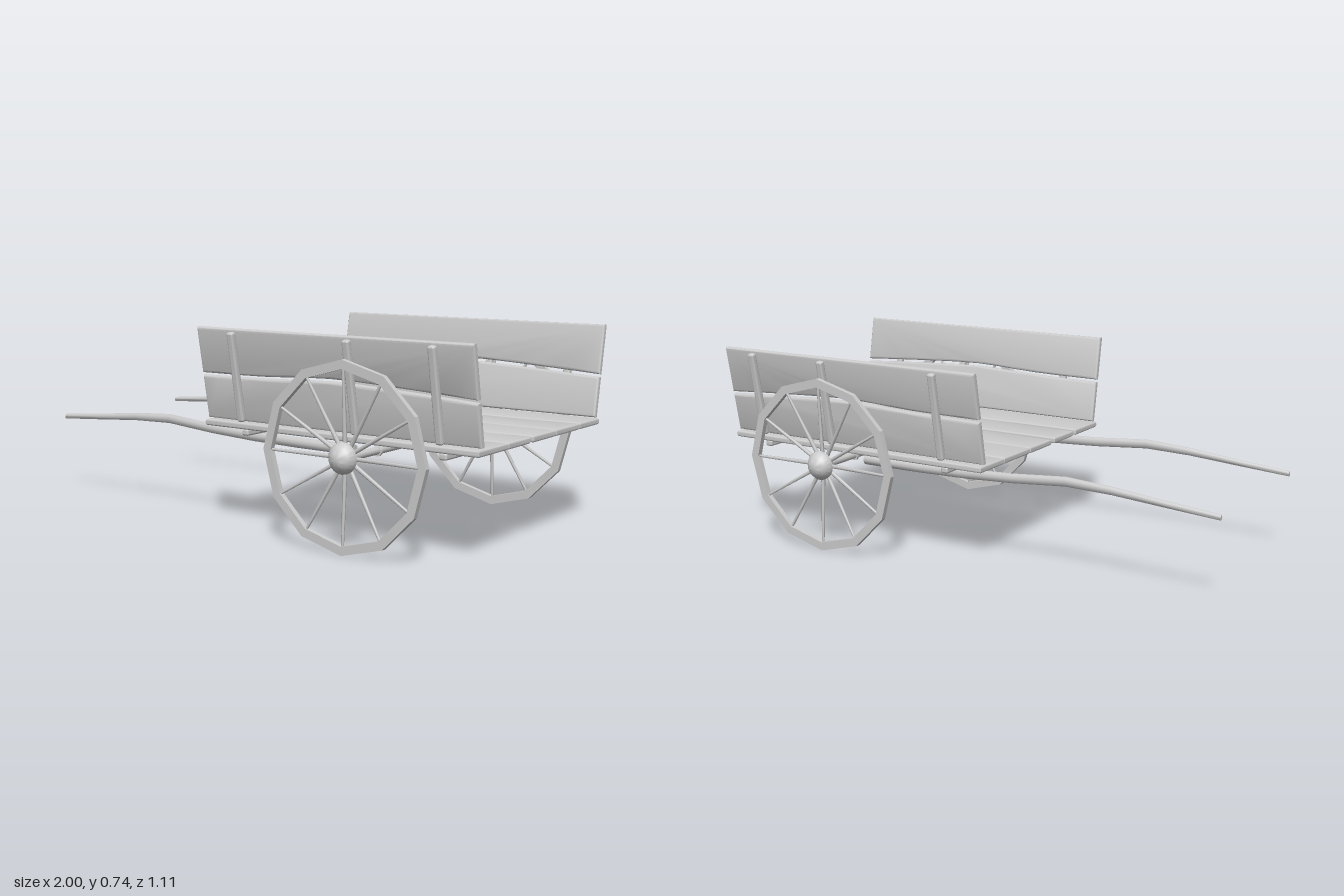
import * as THREE from 'three';
import { toCreasedNormals } from 'three/addons/utils/BufferGeometryUtils.js';
import { RoundedBoxGeometry } from 'three/addons/geometries/RoundedBoxGeometry.js';

const grey = new THREE.MeshStandardMaterial({ color: 0xcccccc });
const X0 = -0.14, X1 = 1.0;
const WHEEL_X = 0.525, WHEEL_Y = 0.335;

function add(parent, name, geometry, x = 0, y = 0, z = 0) {
  const mesh = new THREE.Mesh(geometry, grey);
  mesh.name = name;
  mesh.position.set(x, y, z);
  parent.add(mesh);
  return mesh;
}

// Rounded board along x; both long edges are given as evenly spaced heights
function plankGeometry(low, high) {
  const edge = (values) => values.map((v, i) =>
    new THREE.Vector2(X0 + (X1 - X0) * i / (values.length - 1), v));
  const smooth = (values) => new THREE.SplineCurve(edge(values)).getPoints(values.length > 2 ? 12 : 1);
  const shape = new THREE.Shape([...smooth(low), ...smooth(high).reverse()]);
  const bevel = 0.009, core = 0.006;
  const g = new THREE.ExtrudeGeometry(shape, {
    depth: core, bevelSize: bevel, bevelThickness: bevel, bevelOffset: -bevel, bevelSegments: 3,
  });
  g.translate(0, 0, -core / 2);
  return toCreasedNormals(g, 0.7);
}

// Tapered, bent pole; each station is [x, y, half height, half width]
function shaftGeometry(stations) {
  const n = stations.length - 1;
  const g = new THREE.CylinderGeometry(1, 1, 1, 10, n);
  const p = g.attributes.position;
  for (let i = 0; i < p.count; i++) {
    const [x, y, h, w] = stations[Math.round((0.5 - p.getY(i)) * n)];
    p.setXYZ(i, x, y + p.getX(i) * h, p.getZ(i) * w);
  }
  g.computeVertexNormals();
  return toCreasedNormals(g, 0.8);
}

// Wheel with its axis along z, outer face towards +z
function makeWheel() {
  const wheel = new THREE.Group();
  wheel.name = 'wheel';

  // Twelve-sided rim
  const rim = [[0.298, -0.01], [0.33, -0.01], [0.33, 0.01], [0.298, 0.01], [0.298, -0.01]]
    .map(([r, y]) => new THREE.Vector2(r, y));
  add(wheel, 'rim', toCreasedNormals(new THREE.LatheGeometry(rim, 12).rotateX(Math.PI / 2), 0.3));

  // Spokes running slightly outwards from the hub to the rim corners
  const up = new THREE.Vector3(0, 1, 0);
  for (let i = 0; i < 12; i++) {
    const a = i * Math.PI / 6;
    const start = new THREE.Vector3(Math.cos(a) * 0.03, Math.sin(a) * 0.03, -0.014);
    const end = new THREE.Vector3(Math.cos(a) * 0.308, Math.sin(a) * 0.308, 0);
    const dir = end.clone().sub(start);
    const spoke = add(wheel, 'spoke', new THREE.CylinderGeometry(0.005, 0.008, dir.length(), 6));
    spoke.position.copy(start).add(end).multiplyScalar(0.5);
    spoke.quaternion.setFromUnitVectors(up, dir.normalize());
  }

  // Hub with a tapering outer cap
  const hub = [[0, -0.033], [0.032, -0.033], [0.036, -0.008], [0.054, -0.004], [0.054, 0.008],
    [0.04, 0.026], [0.022, 0.042], [0, 0.044]].map(([r, y]) => new THREE.Vector2(r, y));
  add(wheel, 'hub', toCreasedNormals(new THREE.LatheGeometry(hub, 20).rotateX(Math.PI / 2), 0.7));
  return wheel;
}

export function createModel() {
  const cart = new THREE.Group();
  cart.name = 'handcart';

  // Floor boards, given by their two edges in z
  const floor = new THREE.Group();
  floor.name = 'floor';
  cart.add(floor);
  const boards = [
    [[-0.44, -0.44], [-0.282, -0.284, -0.274, -0.266, -0.284]],
    [[-0.277, -0.278, -0.268, -0.26, -0.278], [-0.099, -0.099]],
    [[-0.09, -0.09], [0.065, 0.072, 0.082, 0.087, 0.07]],
    [[0.095, 0.095], [0.24, 0.24, 0.25, 0.257, 0.243]],
    [[0.264, 0.263, 0.258, 0.262, 0.25], [0.44, 0.44]],
  ];
  for (const [a, b] of boards) {
    add(floor, 'floorBoard', plankGeometry(a, b).rotateX(Math.PI / 2), 0, 0.388, 0);
  }

  // Cross beams under the floor
  for (const x of [0.03, 0.855]) {
    add(cart, 'crossBeam', new RoundedBoxGeometry(0.03, 0.025, 0.845, 2, 0.008), x, 0.363, 0);
  }

  // Axle
  add(cart, 'axle', new THREE.CylinderGeometry(0.014, 0.014, 0.98, 12).rotateX(Math.PI / 2),
    WHEEL_X, 0.333, 0);

  const shaft = [
    [-1, 0.32, 0.01, 0.007], [-0.8, 0.336, 0.012, 0.008], [-0.6, 0.354, 0.015, 0.01],
    [-0.42, 0.362, 0.018, 0.011], [-0.2, 0.344, 0.018, 0.012], [0, 0.335, 0.019, 0.013],
    [0.2, 0.331, 0.019, 0.014], [0.45, 0.33, 0.019, 0.016],
  ];

  for (const s of [1, -1]) {
    // Leaning side wall: two boards with three posts outside
    const side = new THREE.Group();
    side.name = s > 0 ? 'frontSide' : 'backSide';
    side.position.set(0, 0.405, s * 0.413);
    side.rotation.x = s * 0.18;
    cart.add(side);
    add(side, 'lowerSideBoard', plankGeometry([0, 0], [0.16, 0.165, 0.176, 0.165, 0.148]));
    add(side, 'upperSideBoard', plankGeometry([0.17, 0.173, 0.186, 0.175, 0.158], [0.34, 0.34]));
    for (const x of [0.03, WHEEL_X, 0.855]) {
      add(side, 'sidePost', new RoundedBoxGeometry(0.028, 0.328, 0.024, 2, 0.008), x, 0.168, s * 0.0235);
    }

    // Pulling shaft and the collar beside it on the axle
    add(cart, 'shaft', shaftGeometry(shaft), 0, 0, s * 0.33);
    add(cart, 'axleCollar', new THREE.CylinderGeometry(0.018, 0.018, 0.01, 12).rotateX(Math.PI / 2),
      WHEEL_X, 0.33, s * 0.304);

    // Wheel
    const wheel = makeWheel();
    wheel.position.set(WHEEL_X, WHEEL_Y, s * 0.51);
    if (s < 0) wheel.rotation.y = Math.PI;
    cart.add(wheel);
  }

  // Rest the wheels on the ground
  const box = new THREE.Box3().setFromObject(cart);
  for (const part of cart.children) part.position.y -= box.min.y;
  return cart;
}
